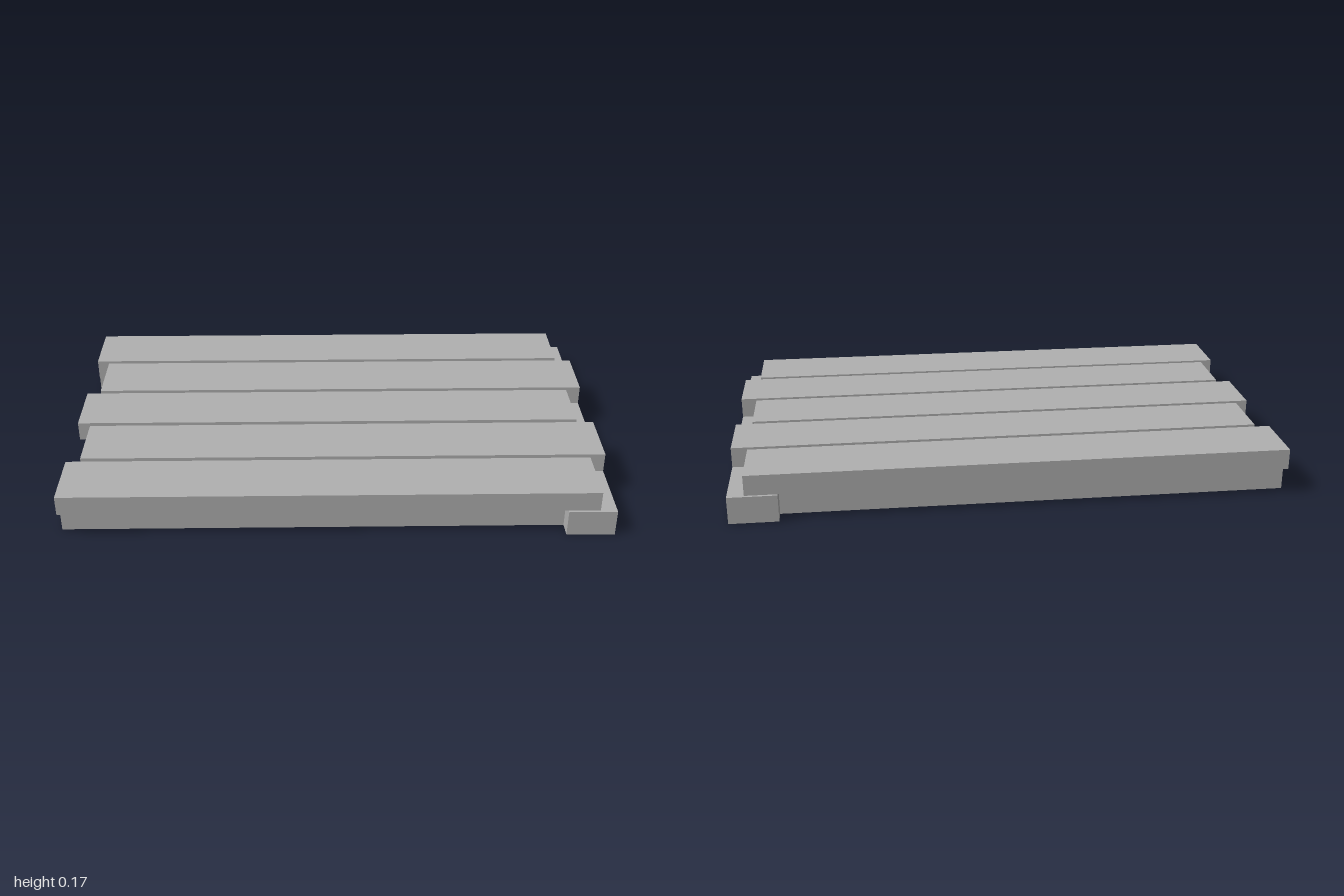
import * as THREE from 'three';

export function createModel() {
  const model = new THREE.Group();
  model.name = 'slattedDeck';

  const grey = new THREE.MeshStandardMaterial({ color: 0xb0b0b0 });
  grey.name = 'plain grey';

  // Box given by its extents along each axis
  function addBoard(name, [x0, x1], [y0, y1], [z0, z1]) {
    const geometry = new THREE.BoxGeometry(x1 - x0, y1 - y0, z1 - z0);
    const board = new THREE.Mesh(geometry, grey);
    board.name = name;
    board.position.set((x0 + x1) / 2, (y0 + y1) / 2, (z0 + z1) / 2);
    model.add(board);
  }

  const frameHeight = 0.1;
  const topHeight = 0.175;
  const beamStart = 0.825;

  // Cross beam at one end, with a rail under each outer slat
  addBoard('crossBeam', [beamStart, 1], [0, frameHeight], [-0.625, 0.625]);
  addBoard('frontRail', [-1, beamStart], [0, frameHeight], [0.39, 0.565]);
  addBoard('backRail', [-1, beamStart], [0, frameHeight], [-0.565, -0.39]);

  // Five slats, staggered alternately along x
  const slatHalfWidth = 0.115;
  for (let i = 0; i < 5; i++) {
    const z = (i - 2) * 0.25;
    const span = i % 2 === 0 ? [-1, 0.94] : [-0.95, 1];
    addBoard(`slat${i + 1}`, span, [frameHeight, topHeight], [z - slatHalfWidth, z + slatHalfWidth]);
  }

  return model;
}
